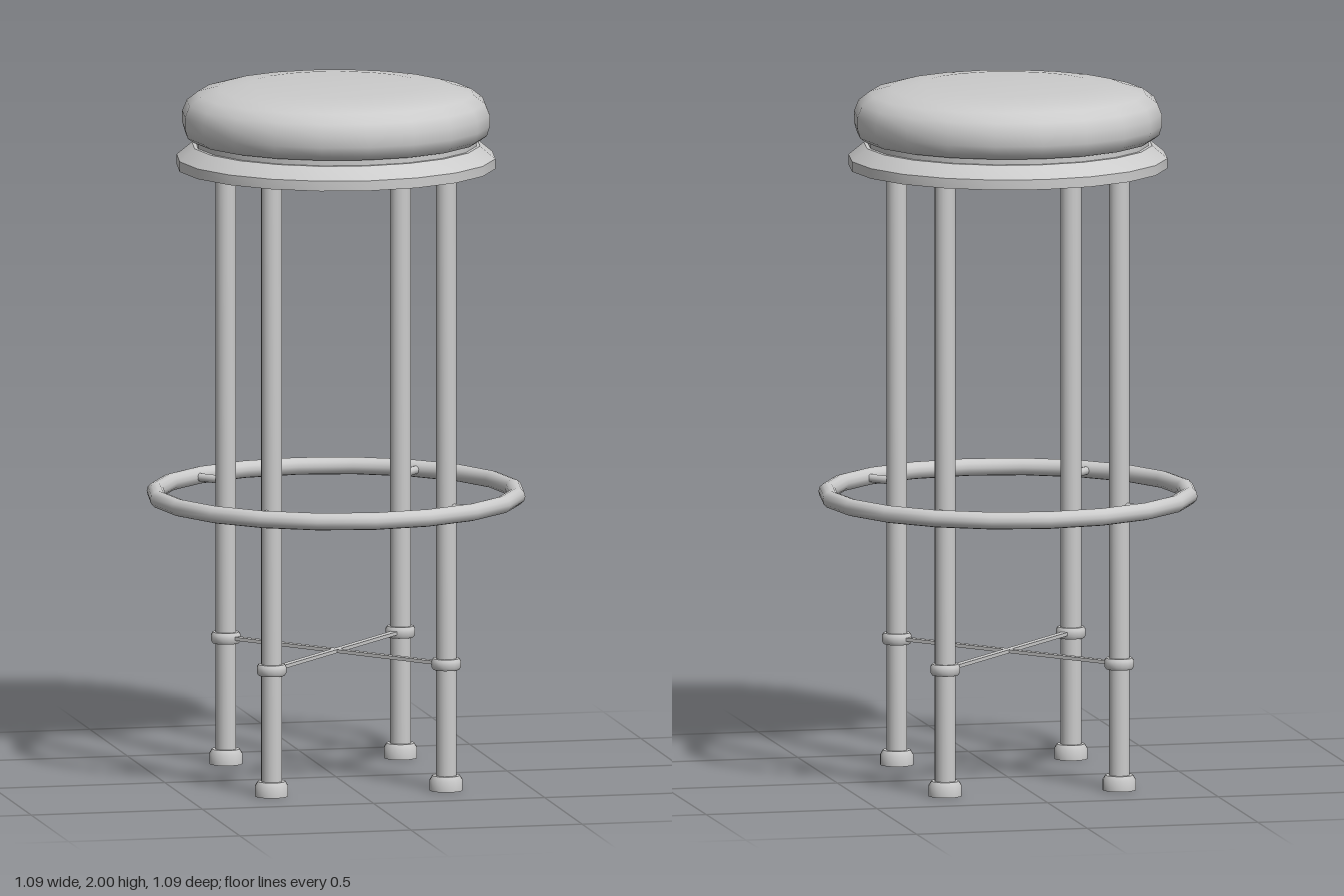
import * as THREE from 'three';
import { toCreasedNormals } from 'three/addons/utils/BufferGeometryUtils.js';

const material = new THREE.MeshStandardMaterial({ color: 0xcccccc });

// Turned part from [radius, height] points, bottom to top
function turned(name, points, sides, crease = 0.7) {
  const profile = points.map(([r, y]) => new THREE.Vector2(r, y));
  const geometry = toCreasedNormals(new THREE.LatheGeometry(profile, sides), crease);
  const mesh = new THREE.Mesh(geometry, material);
  mesh.name = name;
  return mesh;
}

export function createModel() {
  const model = new THREE.Group();
  model.name = 'barStool';
  const legX = 0.255, legZ = 0.305, ringY = 0.818, braceY = 0.365, ringRadius = 0.518;
  const legRadius = Math.hypot(legX, legZ);

  // Seat: bevelled base plate, recessed neck and padded cushion
  model.add(turned('seatPlate', [
    [0, 1.763], [0.457, 1.763], [0.457, 1.792], [0.413, 1.828], [0, 1.828],
  ], 20, 0.5));
  model.add(turned('seatNeck', [[0.403, 1.82], [0.403, 1.855]], 20));
  model.add(turned('cushion', [
    [0, 1.845], [0.415, 1.845], [0.433, 1.858], [0.441, 1.885], [0.441, 1.918],
    [0.428, 1.95], [0.395, 1.975], [0.34, 1.99], [0.25, 1.999], [0, 2],
  ], 20, 0.9));

  // Foot ring
  const ring = new THREE.Mesh(new THREE.TorusGeometry(ringRadius, 0.025, 12, 20), material);
  ring.name = 'footRing';
  ring.rotation.x = Math.PI / 2;
  ring.position.y = ringY;
  model.add(ring);

  for (const sx of [-1, 1]) {
    for (const sz of [-1, 1]) {
      // Leg with rubber foot and collar
      const leg = new THREE.Group();
      leg.name = 'leg';
      leg.position.set(sx * legX, 0, sz * legZ);
      leg.add(turned('legTube', [[0.03, 0.02], [0.03, 1.77]], 16));
      leg.add(turned('foot', [
        [0, 0], [0.048, 0], [0.048, 0.03], [0.04, 0.043], [0, 0.043],
      ], 16));
      leg.add(turned('collar', [
        [0.03, 0.349], [0.038, 0.349], [0.043, 0.357], [0.043, 0.373], [0.038, 0.381], [0.03, 0.381],
      ], 16, 0.9));

      // Short peg joining the leg to the foot ring
      const peg = new THREE.Mesh(
        new THREE.CylinderGeometry(0.012, 0.012, ringRadius - legRadius, 10), material);
      peg.name = 'ringPeg';
      const outward = new THREE.Vector3(sx * legX, 0, sz * legZ).normalize();
      peg.quaternion.setFromUnitVectors(new THREE.Vector3(0, 1, 0), outward);
      peg.position.copy(outward).multiplyScalar((ringRadius - legRadius) / 2);
      peg.position.y = ringY;
      leg.add(peg);
      model.add(leg);
    }

    // Flat diagonal brace between opposite legs
    const brace = new THREE.Mesh(new THREE.BoxGeometry(0.02, 0.01, legRadius * 2 - 0.06), material);
    brace.name = 'crossBrace';
    brace.position.y = braceY;
    brace.rotation.y = sx * Math.atan2(legX, legZ);
    model.add(brace);
  }
  return model;
}
